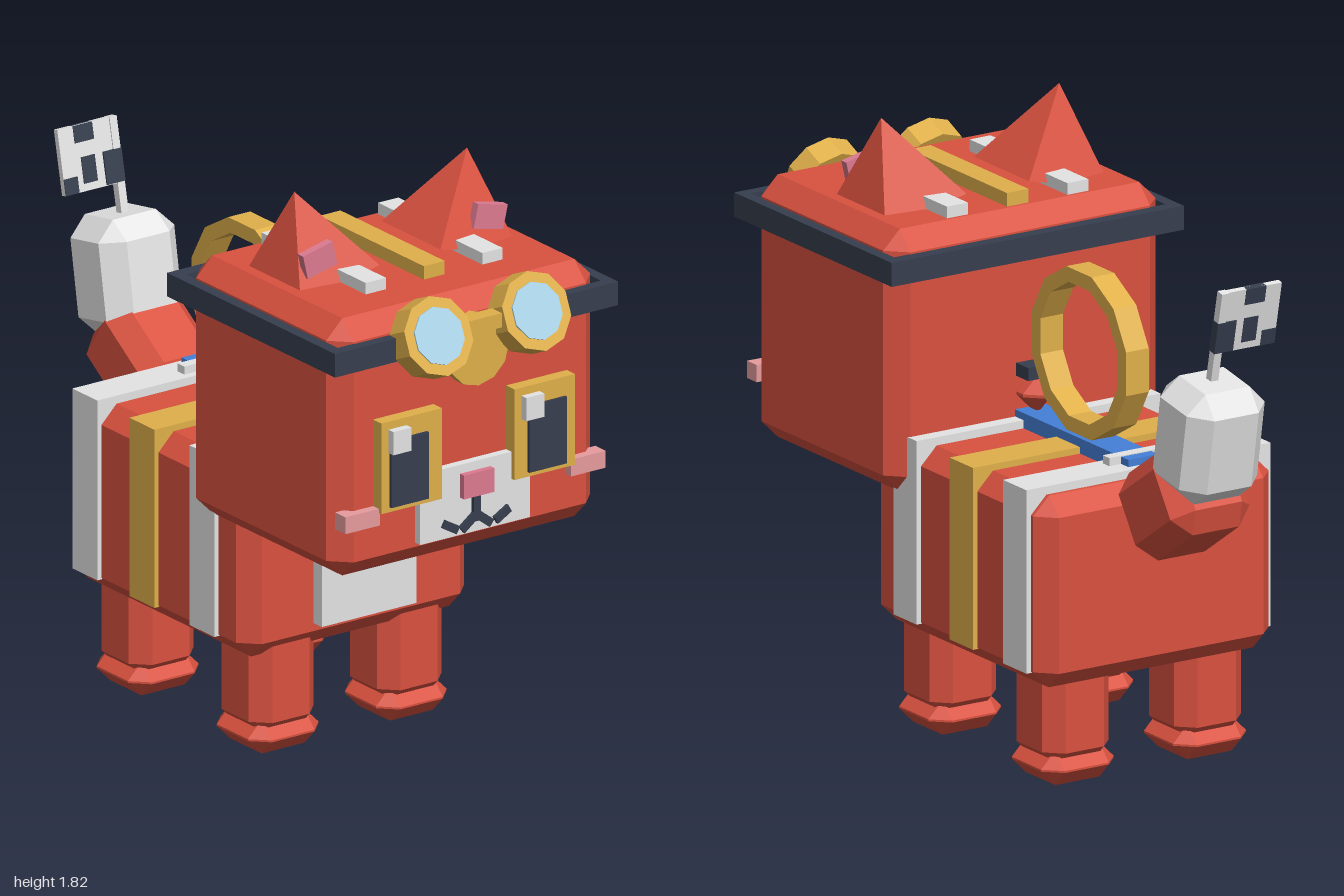
import * as THREE from 'three';
import { ConvexGeometry } from 'three/addons/geometries/ConvexGeometry.js';

const mat = (name, color) => {
  const m = new THREE.MeshStandardMaterial({ color });
  m.name = name;
  m.flatShading = true;
  return m;
};

export function createModel() {
  const red = mat('red', 0xd9513f), white = mat('white', 0xe4e4e4), gold = mat('gold', 0xe0b04a);
  const dark = mat('dark slate', 0x363e4e), blue = mat('blue', 0x4480d8), lensBlue = mat('lens blue', 0xaed8ec);
  const pink = mat('pink', 0xdc7a90), blush = mat('blush', 0xea9ea0);
  const model = new THREE.Group();
  model.name = 'boxyPet';

  const add = (name, geo, material, x, y, z, parent = model) => {
    const mesh = new THREE.Mesh(geo, material);
    mesh.name = name;
    mesh.position.set(x, y, z);
    parent.add(mesh);
    return mesh;
  };
  // Box given by its min and max on each axis
  const box = (name, material, [x0, x1], [y0, y1], [z0, z1], parent = model) =>
    add(name, new THREE.BoxGeometry(x1 - x0, y1 - y0, z1 - z0), material,
      (x0 + x1) / 2, (y0 + y1) / 2, (z0 + z1) / 2, parent);
  // Box with all edges chamfered by c
  const chamferBox = (w, h, d, c) => {
    const pts = [];
    for (const sx of [-1, 1]) for (const sy of [-1, 1]) for (const sz of [-1, 1]) {
      const x = w / 2, y = h / 2, z = d / 2;
      pts.push(new THREE.Vector3(sx * x, sy * (y - c), sz * (z - c)),
        new THREE.Vector3(sx * (x - c), sy * y, sz * (z - c)),
        new THREE.Vector3(sx * (x - c), sy * (y - c), sz * z));
    }
    return new ConvexGeometry(pts);
  };

  // Body, chest and straps
  add('body', chamferBox(0.83, 0.59, 0.92, 0.055), red, 0, 0.615, -0.143);
  box('chestPatch', white, [-0.172, 0.172], [0.4, 0.77], [0.3, 0.358]);
  box('frontStrap', white, [-0.43, 0.43], [0.37, 0.935], [0.05, 0.175]);
  box('middleStrap', gold, [-0.43, 0.43], [0.37, 0.93], [-0.25, -0.125]);
  box('rearStrap', white, [-0.43, 0.43], [0.37, 0.935], [-0.535, -0.41]);
  box('backRail', blue, [-0.053, 0.053], [0.9, 0.957], [-0.508, 0.11]);
  box('railCrossbar', white, [-0.095, 0.095], [0.925, 0.96], [-0.47, -0.435]);

  // Legs and feet
  for (const x of [-0.233, 0.233]) for (const z of [0.17, -0.43]) {
    add('leg', chamferBox(0.235, 0.36, 0.235, 0.05), red, x, 0.235, z);
    add('foot', chamferBox(0.256, 0.106, 0.256, 0.05), red, x, 0.053, z);
  }

  // Twelve-sided hoop on the back
  const polygon = (Type, r) => {
    const pts = [];
    for (let i = 0; i < 12; i++) {
      const a = (i + 0.5) * Math.PI / 6;
      pts.push(new THREE.Vector2(r * Math.cos(a), r * Math.sin(a)));
    }
    return new Type(pts);
  };
  const hoopShape = polygon(THREE.Shape, 0.26);
  hoopShape.holes.push(polygon(THREE.Path, 0.213));
  const hoopGeo = new THREE.ExtrudeGeometry(hoopShape, { depth: 0.08, bevelEnabled: false });
  hoopGeo.translate(0, 0, -0.04);
  add('hoop', hoopGeo, gold, 0, 1.21, -0.225).rotation.y = Math.PI / 2;

  // Small knob behind the head
  add('neckKnob', chamferBox(0.11, 0.105, 0.13, 0.048), red, 0, 1.01, 0.068);
  box('knobCap', dark, [-0.05, 0.05], [1.06, 1.1], [0.03, 0.11]);

  // Head with its rim
  add('head', chamferBox(0.96, 0.808, 0.766, 0.058), red, 0, 1.157, 0.478);
  for (const s of [-1, 1])
    box('rimSide', dark, s < 0 ? [-0.515, -0.478] : [0.478, 0.515], [1.423, 1.497], [0.055, 0.895]);
  box('rimFront', dark, [-0.478, 0.478], [1.423, 1.497], [0.858, 0.895]);
  box('rimBack', dark, [-0.478, 0.478], [1.423, 1.497], [0.055, 0.098]);

  // Stripes on the crown, and ears
  box('crownStripe', gold, [-0.038, 0.038], [1.54, 1.603], [0.162, 0.683]);
  for (const s of [-1, 1]) {
    const tilt = -s * 0.225;
    box('crownSideStripe', white, [s * 0.212 - 0.037, s * 0.212 + 0.037], [1.54, 1.597], [0.162, 0.683]);
    const earGeo = new THREE.ConeGeometry(0.208, 0.27, 4);
    earGeo.rotateY(Math.PI / 4);
    add('ear', earGeo, red, s * 0.284, 1.685, 0.415).rotation.z = tilt;
    add('innerEar', new THREE.BoxGeometry(0.11, 0.076, 0.027), pink, s * 0.31, 1.638, 0.526).rotation.z = tilt;
  }

  // Goggles
  for (const s of [-1, 1]) {
    const goggle = new THREE.Group();
    goggle.name = 'goggle';
    goggle.position.set(s * 0.178, 1.48, 0.914);
    goggle.rotation.x = Math.PI / 2 - 0.41;
    model.add(goggle);
    add('goggleFrame', new THREE.CylinderGeometry(0.121, 0.121, 0.08, 10), gold, 0, 0, 0, goggle);
    add('lens', new THREE.CylinderGeometry(0.088, 0.088, 0.008, 10), lensBlue, 0, 0.041, 0, goggle);
  }
  box('goggleBridge', gold, [-0.065, 0.065], [1.465, 1.51], [0.885, 0.935]);
  add('medallion', new THREE.CylinderGeometry(0.11, 0.11, 0.06, 12), gold, 0, 1.398, 0.876).rotation.x = Math.PI / 2;

  // Eyes: the glint sits on the same side of both
  for (const s of [-1, 1]) {
    const f = s * 0.242, p = f + (s < 0 ? -0.012 : 0.006), g = f - 0.052;
    box('eyeFrame', gold, [f - 0.11, f + 0.11], [0.96, 1.245], [0.84, 0.903]);
    box('pupil', dark, [p - 0.068, p + 0.068], [0.975, 1.185], [0.89, 0.912]);
    box('eyeGlint', white, [g - 0.033, g + 0.033], [1.147, 1.22], [0.89, 0.928]);
    box('cheek', blush, [s * 0.41 - 0.063, s * 0.41 + 0.063], [0.92, 0.973], [0.838, 0.89]);
  }

  // Muzzle, nose and mouth
  box('muzzle', white, [-0.2, 0.2], [0.825, 1.045], [0.84, 0.888]);
  box('nose', pink, [-0.055, 0.055], [0.942, 1.017], [0.87, 0.908]);
  box('mouthLine', dark, [-0.013, 0.013], [0.86, 0.945], [0.88, 0.9]);
  for (const s of [-1, 1]) {
    add('mouthInner', new THREE.BoxGeometry(0.062, 0.026, 0.02), dark, s * 0.029, 0.86, 0.889).rotation.z = -s * 0.65;
    add('mouthOuter', new THREE.BoxGeometry(0.058, 0.026, 0.02), dark, s * 0.094, 0.86, 0.889).rotation.z = s * 0.52;
  }

  // Tail
  add('tailBase', chamferBox(0.28, 0.277, 0.34, 0.058), red, 0, 0.882, -0.725).rotation.x = 0.594;
  add('tailTip', chamferBox(0.276, 0.36, 0.262, 0.06), white, 0, 1.112, -0.856).rotation.x = -0.17;

  // Checked flag on the tail tip
  const flag = new THREE.Group();
  flag.name = 'flag';
  flag.position.set(0, 1.26, -0.868);
  flag.rotation.x = -0.21;
  model.add(flag);
  box('flagPole', white, [-0.013, 0.013], [-0.04, 0.322], [-0.013, 0.013], flag);
  box('flagCloth', white, [-0.2, -0.013], [0.122, 0.322], [-0.009, 0.009], flag);
  for (const [x, y, w, h] of [[-0.11, 0.296, 0.07, 0.052], [-0.018, 0.17, 0.066, 0.1],
    [-0.105, 0.185, 0.05, 0.08], [-0.175, 0.147, 0.05, 0.05]].map(([a, b, c, d], i) => i === 1 ? [a, b + 0.005, c, d] : [a, b, c, d])) {
    const depth = x > -0.05 ? 0.029 : 0.022;
    add('flagCheck', new THREE.BoxGeometry(w, h, depth), dark, x, y, 0, flag);
  }
  return model;
}
